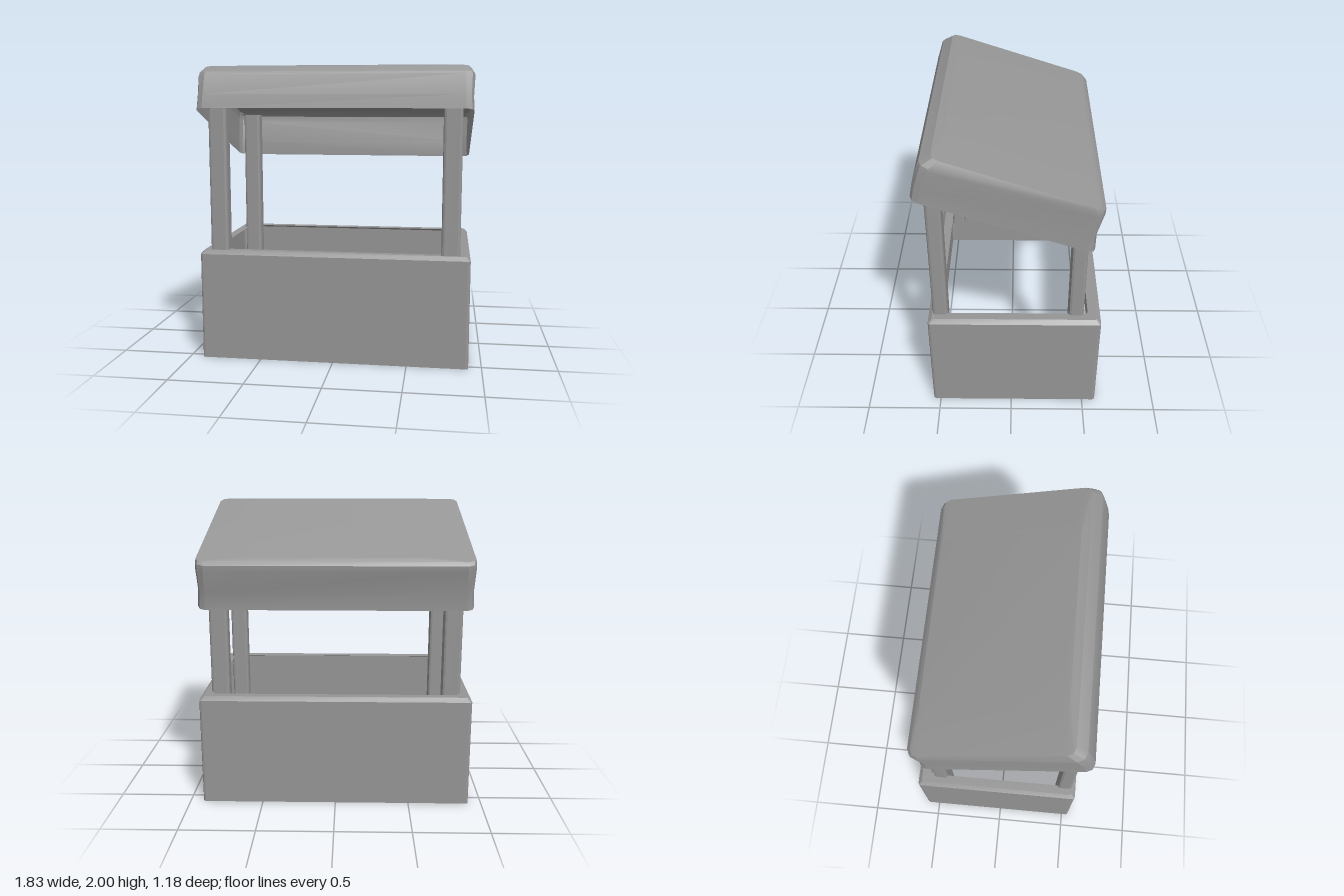
import * as THREE from 'three';
import { toCreasedNormals } from 'three/addons/utils/BufferGeometryUtils.js';

const material = new THREE.MeshStandardMaterial({ color: 0x969696, side: THREE.DoubleSide });

// Rectangle with cut corners; height and half width run straight from front to back.
function ring({ front, back, w, wBack = w, c }) {
  const [zf, yf] = front, [zb, yb] = back;
  const k = c * 0.3; // middle point of a corner, bulging outward
  const corner = [[c, 0], [k, k], [0, c]];
  const outline = [
    ...corner.map(([dx, dz]) => [w - dx, zf - dz]),
    ...corner.map(([dx, dz]) => [wBack - dz, zb + dx]),
    ...corner.map(([dx, dz]) => [-wBack + dx, zb + dz]),
    ...corner.map(([dx, dz]) => [-w + dz, zf - dx]),
  ];
  return outline.map(([x, z]) =>
    new THREE.Vector3(x, yb + (yf - yb) * (z - zb) / (zf - zb), z));
}

// Skin over a stack of rings, open below, with an optional flat cap on the last one.
function loft(name, specs, cap) {
  const rings = specs.map(ring), points = [];
  const n = rings[0].length;
  for (let r = 0; r < rings.length - 1; r++) {
    for (let i = 0; i < n; i++) {
      const j = (i + 1) % n;
      const a = rings[r][i], b = rings[r][j], c = rings[r + 1][j], d = rings[r + 1][i];
      points.push(a, b, c, a, c, d);
    }
  }
  if (cap) {
    const top = rings[rings.length - 1];
    for (let i = 1; i < n - 1; i++) points.push(top[0], top[i], top[i + 1]);
  }
  const geometry = toCreasedNormals(new THREE.BufferGeometry().setFromPoints(points), 0.38);
  const mesh = new THREE.Mesh(geometry, material);
  mesh.name = name;
  return mesh;
}

export function createModel() {
  const model = new THREE.Group();
  model.name = 'marketStall';

  // Counter: thin walls open at top and bottom, with a rim turned inward
  const level = (y, inset) => ({
    front: [0.55 - inset, y], back: [-0.592 + inset, y], w: 0.912 - inset, c: 0.018,
  });
  model.add(loft('counter', [
    level(0, 0), level(0.73, 0), level(0.757, 0.025), level(0.755, 0.085),
  ], false));

  // Four posts with bevelled edges, hanging down inside the counter
  const posts = new THREE.Group();
  posts.name = 'posts';
  for (const [label, z, top] of [['front', 0.47, 1.87], ['back', -0.43, 1.65]]) {
    for (const [side, x] of [['Left', 0.782], ['Right', -0.782]]) {
      const section = (y) => ({ front: [0.05, y], back: [-0.05, y], w: 0.062, c: 0.018 });
      const post = loft(label + side + 'Post', [section(0.33), section(top)], false);
      post.position.set(x, 0, z);
      posts.add(post);
    }
  }
  model.add(posts);

  // Sloping canopy: hanging skirt, rounded shoulder, slightly crowned top
  model.add(loft('canopy', [
    { front: [0.592, 1.72], back: [-0.515, 1.335], w: 0.912, c: 0.05 },
    { front: [0.575, 1.81], back: [-0.518, 1.45], w: 0.907, c: 0.05 },
    { front: [0.535, 1.94], back: [-0.56, 1.595], w: 0.914, c: 0.06 },
    { front: [0.525, 1.957], back: [-0.563, 1.635], w: 0.912, c: 0.06 },
    { front: [0.455, 1.995], back: [-0.543, 1.66], w: 0.89, wBack: 0.908, c: 0.05 },
    { front: [0.4, 2.0], back: [-0.52, 1.683], w: 0.62, c: 0.05 },
  ], true));

  return model;
}
